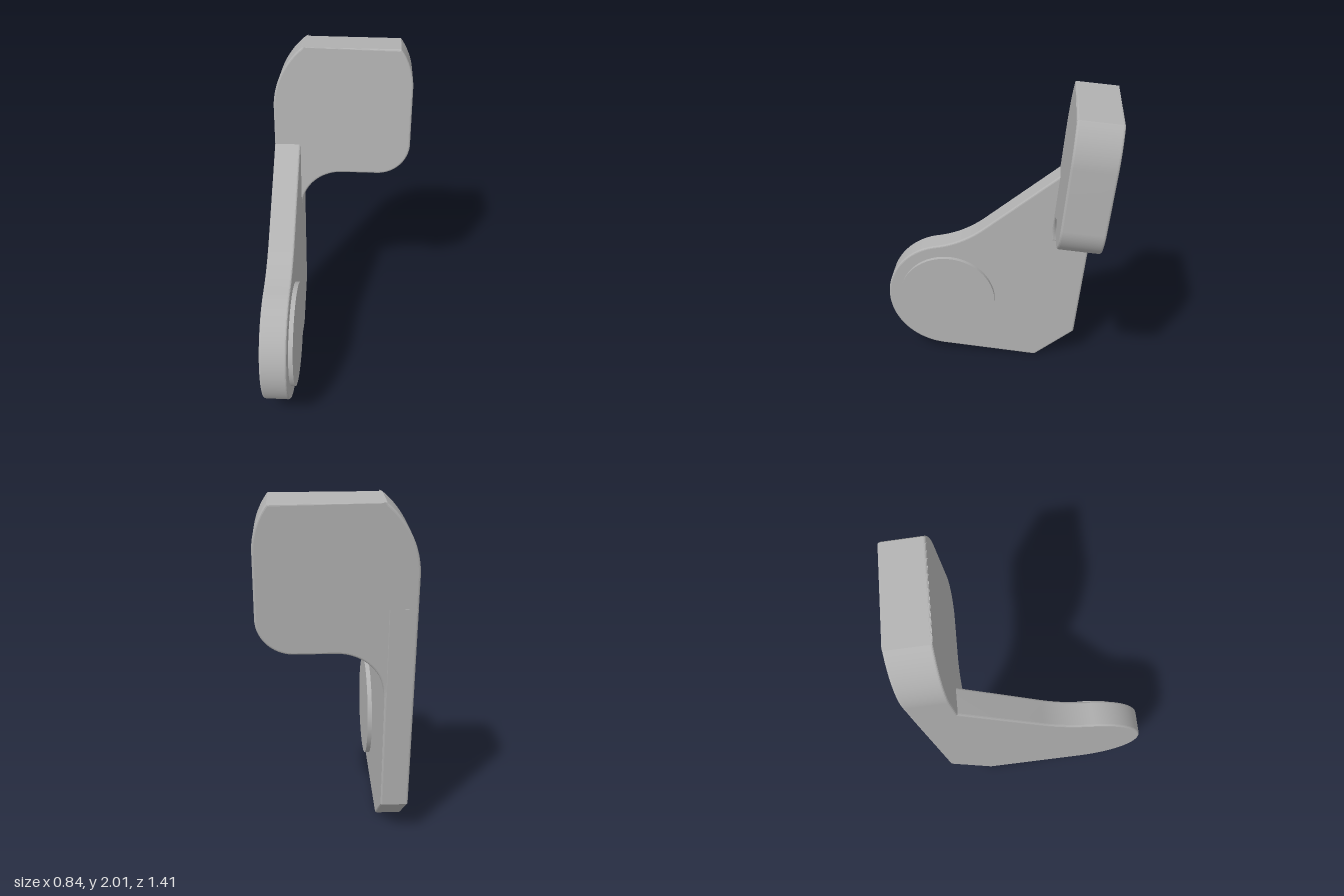
import * as THREE from 'three';
import { toCreasedNormals } from 'three/addons/utils/BufferGeometryUtils.js';

// Extrudes a shape to an exact thickness, with softened edges inside its outline
function softPlate(shape, thickness, bevel) {
  const geometry = new THREE.ExtrudeGeometry(shape, {
    depth: thickness - 2 * bevel,
    bevelEnabled: true,
    bevelSize: bevel,
    bevelThickness: bevel,
    bevelOffset: -bevel,
    bevelSegments: 3,
    curveSegments: 32,
  });
  geometry.translate(0, 0, bevel);
  return toCreasedNormals(geometry, 0.2);
}

export function createModel() {
  const model = new THREE.Group();
  model.name = 'bracket';
  const grey = new THREE.MeshStandardMaterial({ color: 0xb2b2b2 });
  grey.name = 'plain grey';
  const rad = THREE.MathUtils.degToRad;

  const add = (name, geometry) => {
    const mesh = new THREE.Mesh(geometry, grey);
    mesh.name = name;
    model.add(mesh);
    return mesh;
  };

  // Side arm, drawn in (z, y): round front end, sloping neck, leaning back edge
  const arm = new THREE.Shape();
  arm.moveTo(-0.29, 0);
  arm.lineTo(0.345, 0.062);
  arm.absarc(0.31, 0.46, 0.4, rad(-85), rad(80), false);
  arm.quadraticCurveTo(0.212, 0.884, 0.07, 1.0);
  arm.lineTo(-0.405, 1.39);
  arm.lineTo(-0.46, 1.43);
  arm.lineTo(-0.657, 1.43);
  arm.lineTo(-0.551, 0.22);
  arm.closePath();
  const sideArm = add('sideArm', softPlate(arm, 0.16, 0.012));
  sideArm.rotation.y = -Math.PI / 2;
  sideArm.position.x = -0.26;

  // Pad, drawn in (x, height) and leaned back; a concave fillet runs into the arm
  const pad = new THREE.Shape();
  pad.moveTo(-0.42, 0.86);
  pad.lineTo(-0.275, 0.86);
  pad.lineTo(-0.258, 0.93);
  pad.absarc(0, 0.93, 0.258, Math.PI, Math.PI / 2, true);
  pad.lineTo(0.22, 1.188);
  pad.absarc(0.22, 1.388, 0.2, -Math.PI / 2, 0, false);
  pad.absarc(0.02, 1.746, 0.4, 0, Math.asin(0.6), false);
  pad.lineTo(-0.24, 1.986);
  pad.absarc(0.07, 1.606, 0.49, Math.PI - Math.asin(0.38 / 0.49), Math.PI, false);
  pad.closePath();
  const leaningPad = add('leaningPad', softPlate(pad, 0.246, 0.012));
  leaningPad.rotation.x = rad(-5);
  leaningPad.position.z = -0.531;

  // Low round boss on the inner face of the arm
  const boss = add('roundBoss', new THREE.CylinderGeometry(0.32, 0.32, 0.047, 72));
  boss.rotation.z = -Math.PI / 2;
  boss.position.set(-0.2565, 0.46, 0.31);

  return model;
}
